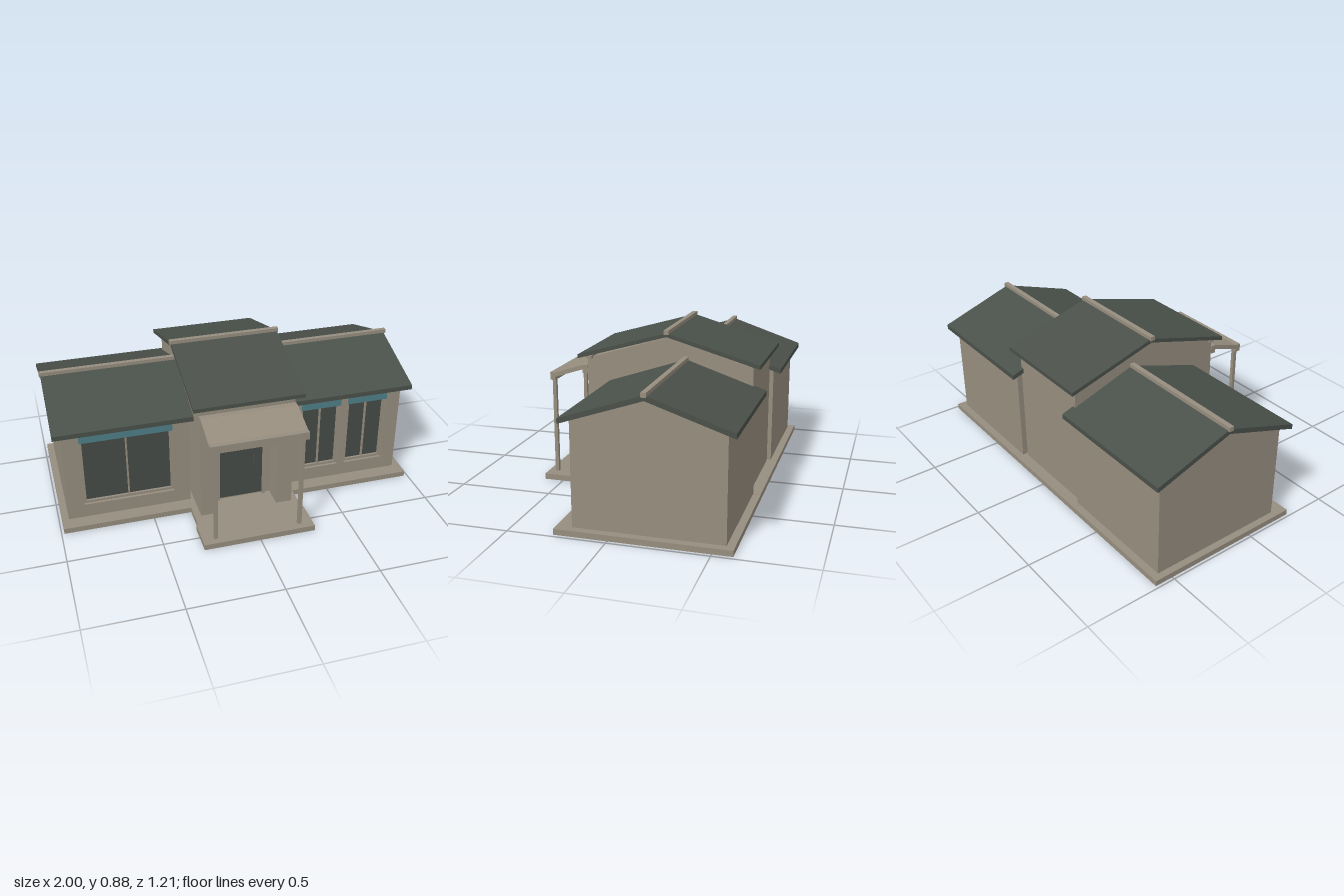
import * as THREE from 'three';

export function createModel() {
  const house = new THREE.Group();
  house.name = 'house';

  const material = (name, color) => {
    const m = new THREE.MeshStandardMaterial({ color });
    m.name = name;
    return m;
  };
  const stone = material('stone', 0x968d7e);
  const slate = material('slate', 0x4a504a);
  const glass = material('glass', 0x474c48);
  const teal = material('teal', 0x4f7f88);

  const add = (name, geometry, mat) => {
    const mesh = new THREE.Mesh(geometry, mat);
    mesh.name = name;
    house.add(mesh);
    return mesh;
  };

  // Box given by its limits on each axis
  const box = (name, mat, x0, x1, y0, y1, z0, z1) => {
    const g = new THREE.BoxGeometry(x1 - x0, y1 - y0, z1 - z0);
    g.translate((x0 + x1) / 2, (y0 + y1) / 2, (z0 + z1) / 2);
    return add(name, g, mat);
  };

  // A [z, y] profile extruded along x
  const prism = (name, mat, points, x0, x1) => {
    const shape = new THREE.Shape(points.map(([z, y]) => new THREE.Vector2(z, y)));
    const g = new THREE.ExtrudeGeometry(shape, { depth: x1 - x0, bevelEnabled: false });
    g.rotateY(-Math.PI / 2).translate(x1, 0, 0);
    return add(name, g, mat);
  };

  // An [x, y] outline with rectangular holes, extruded along z
  const wall = (name, outline, holes, z0, z1) => {
    const vectors = (pts) => pts.map(([x, y]) => new THREE.Vector2(x, y));
    const shape = new THREE.Shape(vectors(outline));
    for (const [x0, x1, y0, y1] of holes) {
      shape.holes.push(new THREE.Path(vectors([[x0, y0], [x0, y1], [x1, y1], [x1, y0]])));
    }
    const g = new THREE.ExtrudeGeometry(shape, { depth: z1 - z0, bevelEnabled: false });
    g.translate(0, 0, z0);
    return add(name, g, stone);
  };

  // Chevron roof with a ridge cap
  const roof = (name, x0, x1, cap0, cap1, zMid, half, peak, eave, thick) => {
    prism(name + 'Roof', slate, [
      [zMid - half, eave], [zMid - half, eave - thick], [zMid, peak - thick],
      [zMid + half, eave - thick], [zMid + half, eave], [zMid, peak],
    ], x0, x1);
    box(name + 'RidgeCap', stone, cap0, cap1, peak - 0.008, peak + 0.015, zMid - 0.013, zMid + 0.013);
  };

  // Foundation slabs
  box('wingSlab', stone, -0.985, 0.98, 0, 0.03, -0.6, 0.27);
  box('hallSlab', stone, -0.295, 0.29, 0, 0.0305, -0.58, 0.43);
  box('porchSlab', stone, -0.305, 0.3, 0, 0.031, 0.43, 0.605);

  // Side wings with recessed windows
  const wings = [
    { name: 'rightWing', x0: -0.949, x1: -0.277, roof: [-0.992, -0.24], cap: [-1, -0.24], windows: [[-0.858, -0.367]] },
    { name: 'leftWing', x0: 0.27, x1: 0.938, roof: [0.232, 0.986], cap: [0.232, 0.997], windows: [[0.356, 0.585], [0.628, 0.857]] },
  ];
  for (const w of wings) {
    box(w.name + 'Body', stone, w.x0, w.x1, 0.03, 0.56, -0.56, 0.155);
    wall(w.name + 'FrontWall', [[w.x0, 0.03], [w.x1, 0.03], [w.x1, 0.56], [w.x0, 0.56]],
      w.windows.map(([a, b]) => [a, b, 0.107, 0.54]), 0.155, 0.19);
    prism(w.name + 'Gable', stone, [[-0.56, 0.56], [0.19, 0.56], [-0.187, 0.694]], w.x0, w.x1);
    for (const [z0, z1] of [[0.16, 0.19], [-0.56, -0.53]]) {
      box(w.name + 'EaveBeam', stone, w.x0, w.x1, 0.56, 0.573, z0, z1);
    }
    roof(w.name, ...w.roof, ...w.cap, -0.187, 0.418, 0.72, 0.58, 0.026);
    for (const [a, b] of w.windows) {
      const mid = (a + b) / 2;
      wall('windowFrame', [[a, 0.107], [b, 0.107], [b, 0.54], [a, 0.54]],
        [[a + 0.014, mid - 0.004, 0.121, 0.526], [mid + 0.004, b - 0.014, 0.121, 0.526]], 0.155, 0.175);
      box('windowPane', glass, a + 0.01, b - 0.01, 0.115, 0.53, 0.155, 0.162);
      box('windowBlind', teal, a, b, 0.495, 0.54, 0.188, 0.197);
    }
  }

  // Central hall with a recessed entrance
  const h0 = -0.259, h1 = 0.253;
  box('hallBody', stone, h0, h1, 0.03, 0.695, -0.54, 0.235);
  wall('hallFrontWall', [
    [h0, 0.03], [-0.168, 0.03], [-0.168, 0.545], [0.165, 0.545],
    [0.165, 0.03], [h1, 0.03], [h1, 0.695], [h0, 0.695],
  ], [], 0.235, 0.355);
  prism('hallGable', stone, [[-0.54, 0.695], [0.355, 0.695], [-0.0925, 0.831]], h0, h1);
  for (const [z0, z1] of [[0.325, 0.355], [-0.54, -0.51]]) {
    box('hallEaveBeam', stone, -0.28, 0.275, 0.695, 0.714, z0, z1);
  }
  roof('hall', -0.299, 0.294, -0.307, 0.301, -0.0925, 0.488, 0.86, 0.72, 0.021);

  // Door
  wall('doorFrame', [
    [-0.145, 0.03], [-0.125, 0.03], [-0.125, 0.515], [0.117, 0.515],
    [0.117, 0.03], [0.137, 0.03], [0.137, 0.535], [-0.145, 0.535],
  ], [], 0.235, 0.25);
  box('door', glass, -0.125, 0.117, 0.042, 0.515, 0.235, 0.243);
  box('doorHandle', slate, 0.065, 0.071, 0.24, 0.29, 0.243, 0.252);
  box('doorBlind', teal, -0.167, 0.163, 0.495, 0.54, 0.353, 0.362);

  // Porch canopy on two posts
  box('canopyFrontBeam', stone, -0.262, 0.256, 0.56, 0.602, 0.543, 0.573);
  box('canopyWallBeam', stone, -0.262, 0.256, 0.61, 0.655, 0.355, 0.385);
  prism('canopyRoof', stone, [[0.384, 0.63], [0.544, 0.578], [0.544, 0.602], [0.384, 0.655]], -0.262, 0.256);
  for (const x of [-0.233, 0.227]) {
    box('porchPost', stone, x - 0.01, x + 0.01, 0.031, 0.562, 0.548, 0.568);
  }
  return house;
}
